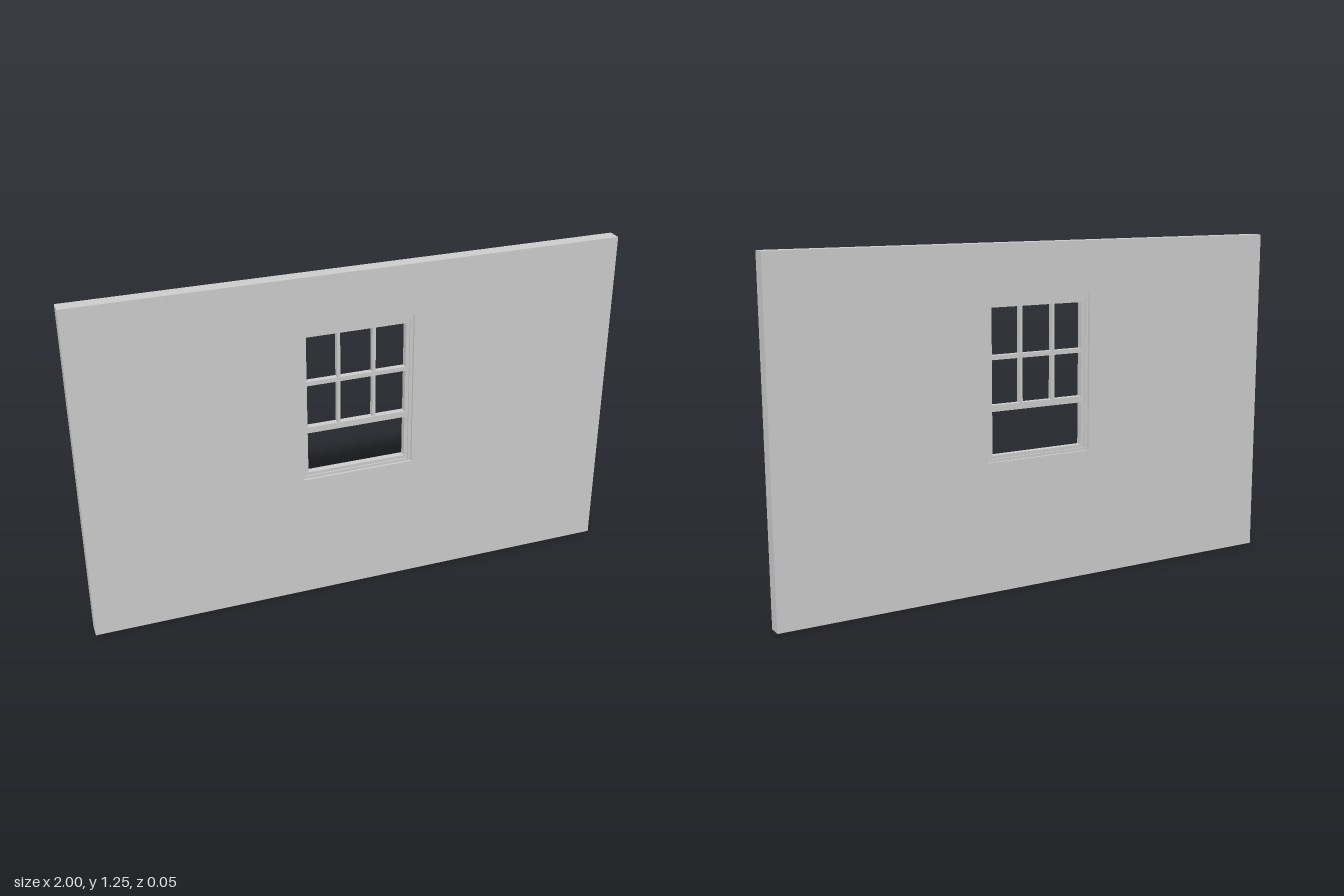
import * as THREE from 'three';

const material = new THREE.MeshStandardMaterial({ color: 0xcccccc, flatShading: true });

// Rectangle corners, given as [left, bottom, right, top]
function trace(path, [l, b, r, t]) {
  path.moveTo(l, b);
  path.lineTo(r, b);
  path.lineTo(r, t);
  path.lineTo(l, t);
  path.closePath();
  return path;
}

// Rectangular slab with a rectangular opening, centred on z = 0
function ring(name, outer, inner, depth) {
  const shape = trace(new THREE.Shape(), outer);
  shape.holes.push(trace(new THREE.Path(), inner));
  const geometry = new THREE.ExtrudeGeometry(shape, { depth, bevelEnabled: false });
  geometry.translate(0, 0, -depth / 2);
  const mesh = new THREE.Mesh(geometry, material);
  mesh.name = name;
  return mesh;
}

// Straight bar filling a rectangle, centred on z = 0
function bar(name, [l, b, r, t], depth) {
  const mesh = new THREE.Mesh(new THREE.BoxGeometry(r - l, t - b, depth), material);
  mesh.name = name;
  mesh.position.set((l + r) / 2, (b + t) / 2, 0);
  return mesh;
}

export function createModel() {
  const group = new THREE.Group();
  group.name = 'wallWithWindow';

  const opening = [-0.21, 0.48, 0.21, 1.06];
  const stop = [-0.198, 0.49, 0.198, 1.044];
  const glass = [-0.185, 0.502, 0.185, 1.028];

  // Wall
  group.add(ring('wall', [-1, 0, 1, 1.25], opening, 0.052));

  // Window frame, stepping inwards
  group.add(ring('windowFrame', opening, stop, 0.034));
  group.add(ring('sashFrame', stop, glass, 0.024));

  // Bottom rail of the raised sash
  group.add(bar('sashRail', [-0.185, 0.66, 0.185, 0.683], 0.024));

  // Glazing bars dividing the sash into six panes
  group.add(bar('horizontalGlazingBar', [-0.185, 0.844, 0.185, 0.86], 0.022));
  for (const x of [-0.066, 0.066]) {
    group.add(bar('verticalGlazingBar', [x - 0.006, 0.683, x + 0.006, 1.028], 0.02));
  }

  return group;
}
